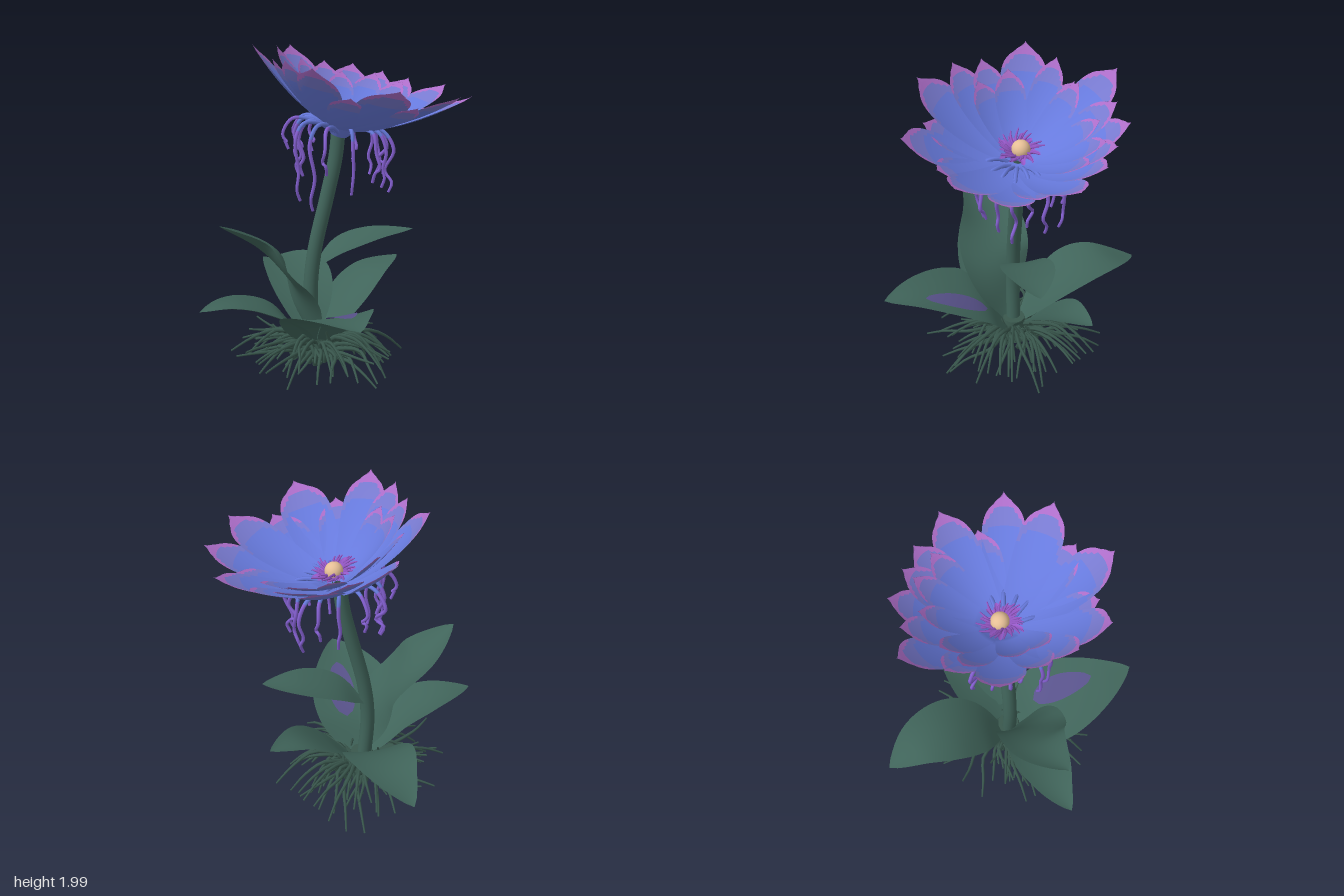
import * as THREE from 'three';

const mat = (name, color) => {
  const m = new THREE.MeshStandardMaterial({ color, side: THREE.DoubleSide });
  m.name = name;
  return m;
};
const V = (x, y, z) => new THREE.Vector3(x, y, z);

export function createModel() {
  const leafGreen = mat('leaf green', 0x40645a);
  const rootGreen = mat('root green', 0x39574d);
  const petalBlue = mat('petal blue', 0x677add);
  const petalBand = mat('petal lavender', 0x787ad0);
  const petalPink = mat('petal pink', 0xae6eca);
  const violet = mat('tendril violet', 0x8560d2);
  const stamenPurple = mat('stamen purple', 0x9658c8);
  const leafPurple = mat('leaf purple', 0x58528a);
  const cream = mat('cream', 0xe6bf96);

  const model = new THREE.Group();
  let seed = 7;
  const rnd = () => (seed = (seed * 16807) % 2147483647) / 2147483647;

  const add = (parent, name, geo, material) => {
    const mesh = new THREE.Mesh(geo, material);
    mesh.name = name;
    parent.add(mesh);
    return mesh;
  };

  // Curved sheet from a rule f(u, v), u in -1..1, v in 0..1; pick() gives the material slot of a cell
  function sheet(f, nu, nv, pick = () => 0) {
    const pos = [], slots = [[], [], []];
    for (let j = 0; j <= nv; j++)
      for (let i = 0; i <= nu; i++) pos.push(...f(-1 + 2 * i / nu, j / nv).toArray());
    for (let j = 0; j < nv; j++)
      for (let i = 0; i < nu; i++) {
        const a = j * (nu + 1) + i, b = a + nu + 1;
        slots[pick(Math.abs(-1 + 2 * (i + 0.5) / nu), (j + 0.5) / nv)].push(a, b, a + 1, a + 1, b, b + 1);
      }
    const geo = new THREE.BufferGeometry();
    geo.setAttribute('position', new THREE.Float32BufferAttribute(pos, 3));
    geo.setIndex(slots.flat());
    let start = 0;
    slots.forEach((s, k) => { geo.addGroup(start, s.length, k); start += s.length; });
    geo.computeVertexNormals();
    return geo;
  }

  // Tube along points whose radius runs from r0 to r1
  function taperTube(points, r0, r1, n, sides) {
    const curve = new THREE.CatmullRomCurve3(points);
    const geo = new THREE.TubeGeometry(curve, n, 1, sides);
    const p = geo.attributes.position, q = V(0, 0, 0);
    for (let i = 0; i < p.count; i++) {
      const t = Math.floor(i / (sides + 1)) / n, c = curve.getPointAt(t);
      q.fromBufferAttribute(p, i).sub(c).multiplyScalar(r0 + (r1 - r0) * t).add(c);
      p.setXYZ(i, q.x, q.y, q.z);
    }
    return geo;
  }

  // Stem
  add(model, 'stem', taperTube([V(-0.09, 0.1, 0), V(-0.115, 0.5, 0), V(-0.09, 0.75, 0), V(-0.01, 1.1, 0),
    V(0.04, 1.33, 0), V(0.06, 1.52, 0)], 0.045, 0.043, 30, 14), leafGreen);

  // Leaves: midrib points, half width, cupping, and how near the tip the widest point lies
  const leafRule = (points, width, cup, peak) => {
    const curve = new THREE.CatmullRomCurve3(points.map(p => V(...p)));
    return (u, v) => {
      const side = curve.getTangentAt(v).cross(V(0, 1, 0)).setY(0).normalize();
      const w = Math.max(width * Math.sin(Math.PI * v ** peak) ** 0.8 || 0, 0.035 * (1 - v));
      const p = curve.getPointAt(v).addScaledVector(side, u * w);
      p.y += cup * w * (u * u - 0.3);
      return p;
    };
  };
  const leaves = {
    tallLeftLeaf: [[[-0.1, 0.2, 0.05], [-0.22, 0.56, 0.09], [-0.43, 0.82, 0.1], [-0.69, 1.0, 0.21]], 0.22, 0.3, 0.85],
    lowLeftLeaf: [[[-0.1, 0.15, 0.05], [-0.28, 0.36, 0.11], [-0.5, 0.47, 0.14], [-0.66, 0.5, 0.17], [-0.82, 0.49, 0.22]], 0.18, 0.2, 0.85],
    rightLeaf: [[[-0.05, 0.16, -0.02], [0.13, 0.38, -0.12], [0.32, 0.53, -0.23], [0.53, 0.58, -0.36]], 0.17, 0.2, 0.85],
    highLeaf: [[[-0.08, 0.64, -0.03], [0.06, 0.75, -0.03], [0.28, 0.82, -0.04], [0.54, 0.845, -0.04]], 0.16, 0.12, 0.85],
    frontLeaf: [[[-0.09, 0.16, 0.04], [-0.085, 0.36, 0.19], [-0.07, 0.46, 0.38], [-0.04, 0.52, 0.62], [0, 0.53, 0.83]], 0.275, 0.12, 0.72],
    backLeaf: [[[-0.1, 0.16, -0.03], [-0.11, 0.38, -0.2], [-0.13, 0.51, -0.4], [-0.17, 0.54, -0.6], [-0.26, 0.46, -0.83]], 0.21, 0.15, 0.95]
  };
  for (const [name, spec] of Object.entries(leaves)) add(model, name, sheet(leafRule(...spec), 10, 24), leafGreen);

  // Purple patch lying on the front leaf
  const frontRule = leafRule(...leaves.frontLeaf);
  add(model, 'frontLeafPatch', sheet((u, v) => {
    const s = 2 * v - 1;
    return frontRule(-0.28 + 0.32 * u * Math.sqrt(1 - s * s), 0.5 + 0.23 * s).add(V(0, 0.007, -0.003));
  }, 8, 14), leafPurple);

  // Root crown and spreading root strands
  const roots = new THREE.Group();
  roots.name = 'roots';
  model.add(roots);
  add(roots, 'rootCrown', new THREE.CylinderGeometry(0.07, 0.1, 0.15, 12), rootGreen).position.set(-0.08, 0.14, 0);
  for (let i = 0; i < 92; i++) {
    const a = i * 2.39996, len = 0.26 + 0.31 * rnd(), top = 0.13 + 0.12 * rnd();
    const end = Math.max(0.012, 0.03 + 0.16 * rnd() - 0.05 * Math.cos(a)), bend = (rnd() - 0.5) * 0.9;
    const at = (r, y, t) => V(-0.07 + r * Math.cos(a + bend * t), y, r * Math.sin(a + bend * t));
    add(roots, 'rootStrand', taperTube([at(0.05, 0.08 + 0.1 * rnd(), 0), at(0.15, top - 0.03 * rnd(), 0.2),
      at(len * 0.55, top, 0.1 + 0.5 * rnd()), at(len * 0.8, (top * 1.2 + end * 0.8) / 2, 0.8), at(len, end, 1)],
    0.017, 0.006, 10, 5), rootGreen);
  }
  for (let i = 0; i < 20; i++) { // short upright tuft
    const a = i * 2.4, r = 0.09 + 0.07 * rnd(), lean = 0.9 + 0.5 * rnd();
    add(roots, 'tuftStrand', taperTube([V(-0.08 + r * Math.cos(a), 0.04 + 0.05 * rnd(), r * Math.sin(a)),
      V(-0.08 + r * lean * Math.cos(a), 0.14, r * lean * Math.sin(a)),
      V(-0.08 + r * Math.cos(a + 0.4), 0.2 + 0.07 * rnd(), r * Math.sin(a + 0.4))], 0.02, 0.007, 6, 5), rootGreen);
  }

  // Flower head, tipped towards +x
  const flower = new THREE.Group();
  flower.name = 'flower';
  flower.position.set(0.07, 1.5, 0);
  flower.rotation.z = -0.235;
  model.add(flower);

  // Petals: [angle in degrees, length, half width, tip height, lift]
  const petals = [
    [0, 0.55, 0.13, 0.26, -0.008], [62, 0.58, 0.15, 0.28, -0.008], [103, 0.55, 0.14, 0.26, -0.008], [228, 0.52, 0.13, 0.26, -0.008],
    [16, 0.71, 0.16, 0.37, 0], [41, 0.69, 0.17, 0.37, 0.006], [82, 0.69, 0.19, 0.36, 0], [125, 0.65, 0.17, 0.37, 0],
    [147, 0.58, 0.13, 0.35, 0.012], [165, 0.54, 0.12, 0.34, 0], [193, 0.62, 0.17, 0.365, 0.006], [245, 0.68, 0.17, 0.38, 0],
    [264, 0.57, 0.13, 0.32, 0.012], [283, 0.61, 0.15, 0.35, 0], [303, 0.57, 0.14, 0.34, 0.012], [320, 0.6, 0.15, 0.35, 0], [343, 0.67, 0.16, 0.37, 0.006],
    [153, 0.41, 0.1, 0.28, 0.03], [180, 0.42, 0.11, 0.3, 0.035], [214, 0.52, 0.11, 0.35, 0.03], [237, 0.46, 0.1, 0.3, 0.035],
    [275, 0.45, 0.1, 0.27, 0.03], [300, 0.5, 0.11, 0.3, 0.035], [323, 0.5, 0.11, 0.3, 0.03]
  ];
  const petalColour = (u, v) => {
    const edge = v + 0.14 * u ** 4;
    return edge > 0.91 ? 2 : edge > 0.79 ? 1 : 0;
  };
  for (const [deg, len, width, height, lift] of petals) {
    const a = deg * Math.PI / 180;
    add(flower, 'petal', sheet((u, v) => {
      const t = u * (0.025 * (1 - v) + width * v ** 0.65 * (1 - v ** 7) ** 0.62);
      const r = 0.02 + (len - 0.02) * (v - 0.05 * v * u * u);
      const y = height * (Math.hypot(r, t) / len) ** 1.7 + 0.6 * t * t + lift * Math.min(1, v * 4);
      return V(r * Math.cos(a) - t * Math.sin(a), y, r * Math.sin(a) + t * Math.cos(a));
    }, 14, 32, petalColour), [petalBlue, petalBand, petalPink]);
  }

  // Calyx, centre, ragged corona and stamens
  add(flower, 'calyx', new THREE.CylinderGeometry(0.1, 0.045, 0.06, 16, 1, true), petalBlue).position.y = -0.015;
  const centre = add(flower, 'centre', new THREE.SphereGeometry(0.055, 20, 14), cream);
  centre.position.set(0, 0.09, -0.01);
  add(flower, 'corona', sheet((u, v) => {
    const a = -Math.PI * u, r = v * (0.1 + 0.025 * Math.cos(11 * a) + 0.012 * Math.cos(5 * a + 1));
    return V(r * Math.cos(a), 0.055 + 0.035 * v, r * Math.sin(a));
  }, 88, 3), stamenPurple);
  for (let i = 0; i < 30; i++) {
    const a = i * 2.39996, r = 0.09 + 0.06 * rnd(), y = 0.07 + 0.03 * rnd();
    add(flower, 'stamen', taperTube([V(0.03 * Math.cos(a), 0.06, 0.03 * Math.sin(a)),
      V(r * 0.6 * Math.cos(a), y, r * 0.6 * Math.sin(a)), V(r * Math.cos(a + 0.2), y + 0.02, r * Math.sin(a + 0.2))],
      0.014, 0.004, 4, 5), stamenPurple);
  }

  // Hanging tendrils, blue near the flower and violet below: [angle in degrees, reach, end height]
  const tendrils = new THREE.Group();
  tendrils.name = 'tendrils';
  model.add(tendrils);
  const hanging = [
    [-58, 0.29, 1.28], [-42, 0.33, 1.2], [-22, 0.29, 1.17], [-4, 0.27, 1.25], [16, 0.3, 1.16], [36, 0.29, 1.2], [56, 0.31, 1.24],
    [84, 0.24, 1.15], [116, 0.42, 1.28], [134, 0.32, 1.03], [152, 0.34, 1.07], [168, 0.26, 1.2], [186, 0.34, 1.34],
    [206, 0.27, 1.17], [226, 0.32, 1.24], [246, 0.3, 1.3], [275, 0.22, 1.17]
  ];
  for (const [deg, reach, end] of hanging) {
    const a = deg * Math.PI / 180, sway = 0.04 * (rnd() - 0.5);
    const at = (r, y, s = 0) => V(0.07 + r * Math.cos(a) + s, y - 0.15 * r * Math.cos(a), r * Math.sin(a) + s);
    const geo = taperTube([at(0.04, 1.48), at(reach * 0.5, 1.535), at(reach * 0.85, 1.525), at(reach, 1.42, sway),
      at(reach * 0.95, 1.42 * 0.5 + end * 0.5, -sway), at(reach * 0.97, end + 0.06, sway), at(reach * 0.9, end, sway)],
    0.014, 0.009, 28, 6);
    const half = 12 * 6 * 6;
    geo.clearGroups();
    geo.addGroup(0, half, 0);
    geo.addGroup(half, geo.index.count - half, 1);
    add(tendrils, 'tendril', geo, [petalBlue, violet]);
  }
  return model;
}
